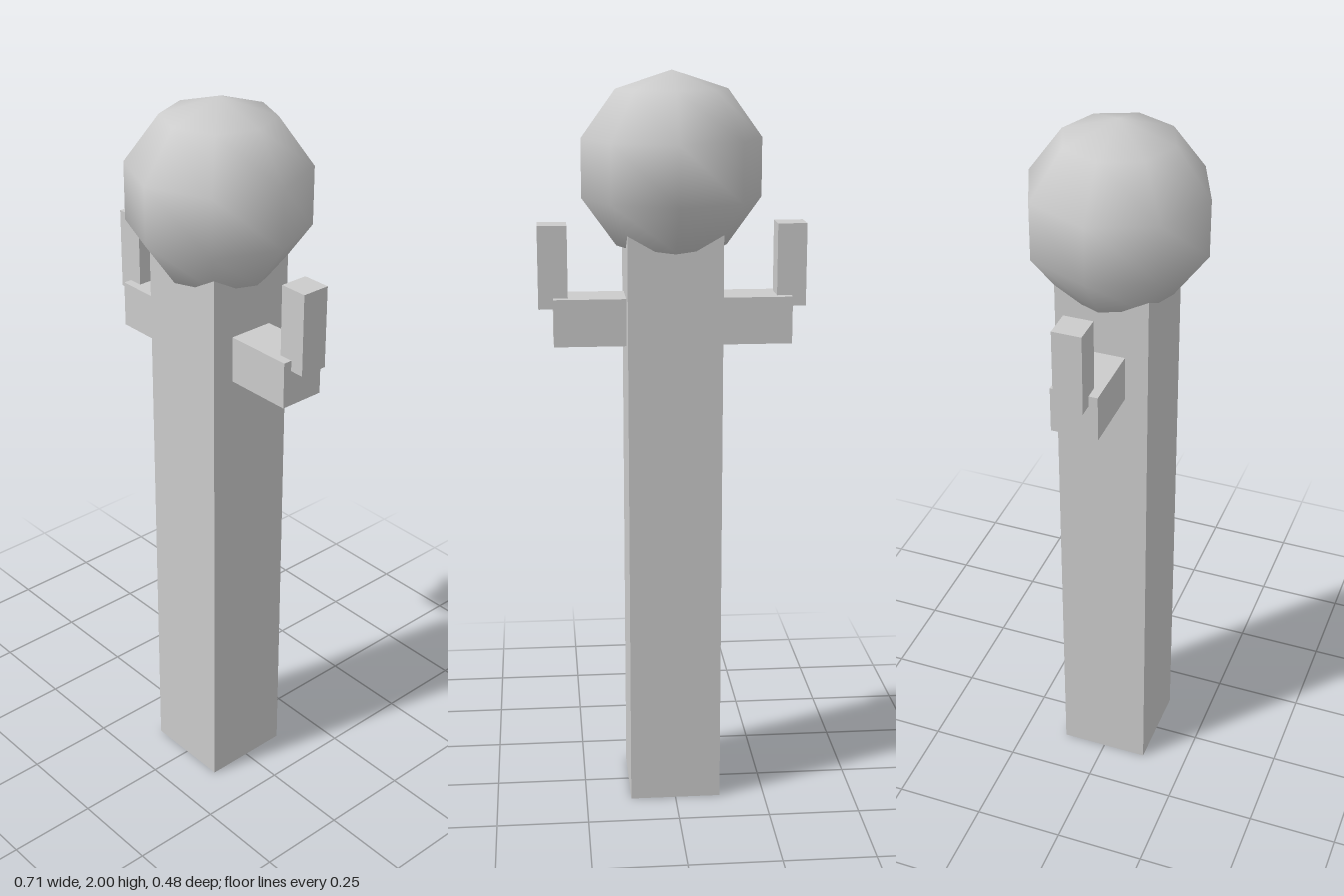
import * as THREE from 'three';

const material = new THREE.MeshStandardMaterial({ color: 0xcccccc });

function addPart(parent, name, geometry, x, y) {
  const mesh = new THREE.Mesh(geometry, material);
  mesh.name = name;
  mesh.position.set(x, y, 0);
  parent.add(mesh);
}

export function createModel() {
  const model = new THREE.Group();
  model.name = 'post';

  // Square trunk, its top sunk into the ball
  addPart(model, 'trunk', new THREE.BoxGeometry(0.25, 1.6, 0.25), 0, 0.8);

  // Coarse, smooth-shaded ball on top
  addPart(model, 'crown', new THREE.SphereGeometry(0.25, 8, 5), 0, 1.75);

  // Mirrored side arms, each with an upright tip
  for (const [side, s] of [['left', 1], ['right', -1]]) {
    const arm = new THREE.Group();
    arm.name = side + 'Arm';
    addPart(arm, side + 'ArmBar', new THREE.BoxGeometry(0.217, 0.126, 0.126), s * 0.2085, 1.352);
    addPart(arm, side + 'ArmTip', new THREE.BoxGeometry(0.078, 0.22, 0.078), s * 0.317, 1.496);
    model.add(arm);
  }
  return model;
}
